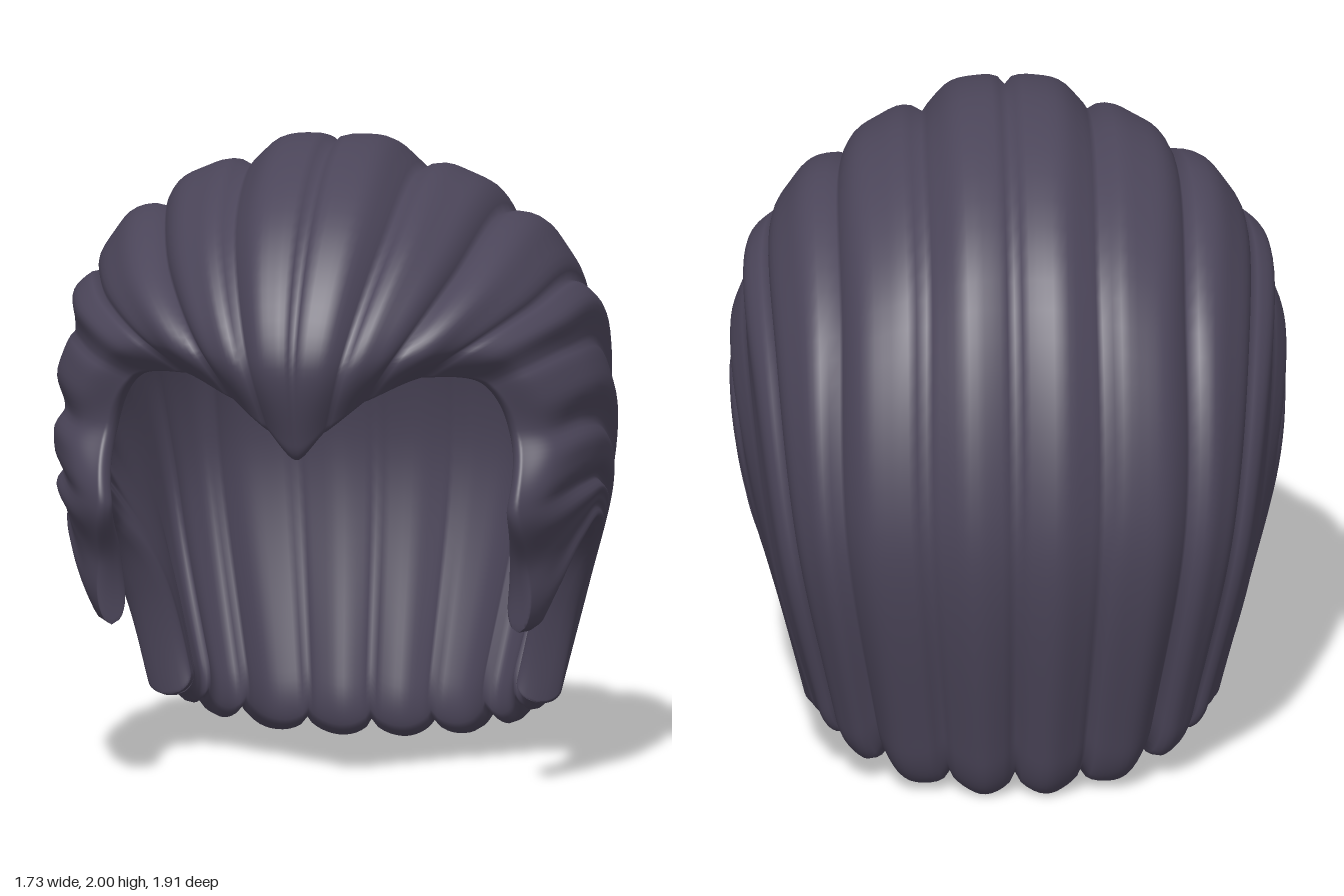
import * as THREE from 'three';

// Guide lines of the left half, each [x, y, z] from front hairline over the head to the hem
const topGuides = [
  [[0, 1.08, 0.88], [0, 1.42, 0.95], [0, 1.81, 0.66], [0, 2.0, 0.1], [0, 1.7, -0.6], [0, 0.95, -0.93], [0, 0.045, -0.775]],
  [[0.09, 1.16, 0.86], [0.16, 1.41, 0.915], [0.25, 1.75, 0.63], [0.28, 1.92, 0.05], [0.28, 1.64, -0.6], [0.28, 0.95, -0.9], [0.22, 0.05, -0.75]],
  [[0.2, 1.25, 0.81], [0.32, 1.42, 0.83], [0.46, 1.63, 0.59], [0.55, 1.79, 0.05], [0.56, 1.5, -0.55], [0.55, 0.9, -0.8], [0.43, 0.09, -0.65]],
  [[0.36, 1.32, 0.71], [0.51, 1.42, 0.69], [0.67, 1.52, 0.46], [0.76, 1.57, 0.05], [0.75, 1.32, -0.45], [0.69, 0.8, -0.67], [0.55, 0.13, -0.55]],
];
const sideGuides = [
  [[0.55, 1.29, 0.59], [0.67, 1.34, 0.55], [0.785, 1.38, 0.32], [0.83, 1.36, 0.02], [0.81, 1.12, -0.36], [0.735, 0.66, -0.54], [0.6, 0.14, -0.47]],
  [[0.635, 1.13, 0.54], [0.75, 1.14, 0.48], [0.83, 1.15, 0.3], [0.855, 1.1, 0.05], [0.83, 0.92, -0.25], [0.725, 0.55, -0.45], [0.62, 0.15, -0.42]],
  [[0.65, 0.9, 0.635], [0.75, 0.93, 0.54], [0.83, 0.96, 0.32], [0.845, 0.94, 0.08], [0.82, 0.81, -0.18], [0.72, 0.5, -0.37], [0.63, 0.15, -0.385]],
  [[0.665, 0.7, 0.525], [0.74, 0.74, 0.44], [0.81, 0.83, 0.28], [0.83, 0.86, 0.08], [0.81, 0.76, -0.17], [0.715, 0.49, -0.31], [0.635, 0.16, -0.36]],
  [[0.69, 0.51, 0.5], [0.73, 0.51, 0.4], [0.78, 0.69, 0.28], [0.81, 0.78, 0.08], [0.8, 0.7, -0.15], [0.71, 0.49, -0.255], [0.64, 0.165, -0.34]],
];

const LOCKS = 8;       // locks on each half
const COLS = 16 * 12;  // steps across the head
const ROWS = 80;       // steps along a lock
const { smoothstep, lerp } = THREE.MathUtils;

// Lock profile: 0 in the grooves, 1 on the crests, softer towards the sides
function lockProfile(a) {
  const wave = Math.max(0, Math.sin(Math.PI * Math.pow(a % 1, 0.85)));
  return Math.pow(wave, lerp(0.7, 1.6, smoothstep(a, 3, 5)));
}

function buildShell() {
  const half = [...topGuides, ...sideGuides];
  const mirrored = half.slice(1).reverse().map((g) => g.map(([x, y, z]) => [-x, y, z]));
  const guides = [...mirrored, ...half].map(
    (g) => new THREE.CatmullRomCurve3(g.map((p) => new THREE.Vector3(...p))));

  // Smooth base surface, with rows packed closer at hairline and hem
  const grid = [];
  const ts = [];
  for (let j = 0; j <= ROWS; j++) {
    const v = j / ROWS;
    const t = v - 0.8 * Math.sin(2 * Math.PI * v) / (2 * Math.PI);
    ts.push(t);
    const across = new THREE.CatmullRomCurve3(guides.map((c) => c.getPoint(t)));
    grid.push(Array.from({ length: COLS + 1 }, (_, i) => across.getPoint(i / COLS)));
  }

  // Outer locks and the inner face, which meet halfway in a rounded rim
  const outer = [];
  const inner = [];
  const du = new THREE.Vector3();
  const dt = new THREE.Vector3();
  for (let j = 0; j <= ROWS; j++) {
    for (let i = 0; i <= COLS; i++) {
      const t = ts[j];
      const u = (i / COLS) * 2 * LOCKS - LOCKS;
      const a = Math.abs(u);
      du.subVectors(grid[j][Math.min(i + 1, COLS)], grid[j][Math.max(i - 1, 0)]);
      dt.subVectors(grid[Math.min(j + 1, ROWS)][i], grid[Math.max(j - 1, 0)][i]);
      const n = du.clone().cross(dt).normalize();

      // Locks are shallow at the hairline and merge behind the ears
      const lobe = lockProfile(a);
      const merge = 1 - smoothstep(a, 2, 4.5) * smoothstep(t, 0.45, 0.8);
      const depth = lerp(0.052, 0.032, smoothstep(a, 2, 5)) * lerp(1, 0.4, smoothstep(a, 5.5, 7));
      const amp = depth * lerp(0.15, 1, smoothstep(t, 0, 0.35)) * merge;
      const ripple = 0.004 * Math.sin(a * 11 + 3 * t) * smoothstep(t, 0.05, 0.3) * merge;
      const rise = amp * (lobe - 0.6) + ripple;
      const p = grid[j][i].clone().addScaledVector(n, rise);
      p.y -= 0.05 * lobe * merge * smoothstep(t, 0.85, 1);

      // Thin at the hairline, fuller at the sideburns and behind the ears
      const edge = Math.min(t * 3.5, (1 - t) * 3.5, (LOCKS - a) * 0.12);
      const k = 1 - Math.min(edge / 0.09, 1);
      const round = Math.sqrt(1 - k * k);
      const thick = lerp(0.06, 0.11, Math.max(smoothstep(t, 0, 0.2), smoothstep(a, 6, 8)))
        + 0.03 * smoothstep(a, 3, 6) * smoothstep(t, 0.6, 0.85) + rise * 0.5;
      const q = p.clone().addScaledVector(n, -thick * (1 + round) / 2);
      p.addScaledVector(n, -thick * (1 - round) / 2);
      outer.push(p.x, p.y, p.z);
      inner.push(q.x, q.y, q.z);
    }
  }

  const width = COLS + 1;
  const count = width * (ROWS + 1);
  const out = (i, j) => j * width + i;
  const inn = (i, j) =>
    (i === 0 || j === 0 || i === COLS || j === ROWS) ? out(i, j) : count + out(i, j);
  const index = [];
  for (let j = 0; j < ROWS; j++) {
    for (let i = 0; i < COLS; i++) {
      const quad = (f) => [f(i, j), f(i + 1, j), f(i + 1, j + 1), f(i, j + 1)];
      const [a, b, c, d] = quad(out);
      index.push(a, b, c, a, c, d);
      const [e, f, g, h] = quad(inn);
      index.push(e, g, f, e, h, g);
    }
  }
  const geometry = new THREE.BufferGeometry();
  geometry.setAttribute('position', new THREE.Float32BufferAttribute([...outer, ...inner], 3));
  geometry.setIndex(index);
  geometry.computeVertexNormals();
  return geometry;
}

export function createModel() {
  const group = new THREE.Group();
  group.name = 'hairpiece';
  const hairColour = new THREE.MeshStandardMaterial({ color: 0x4b4559, side: THREE.DoubleSide });
  hairColour.name = 'dark plum hair';
  const hair = new THREE.Mesh(buildShell(), hairColour);
  hair.name = 'sweptBackHair';
  group.add(hair);
  return group;
}
